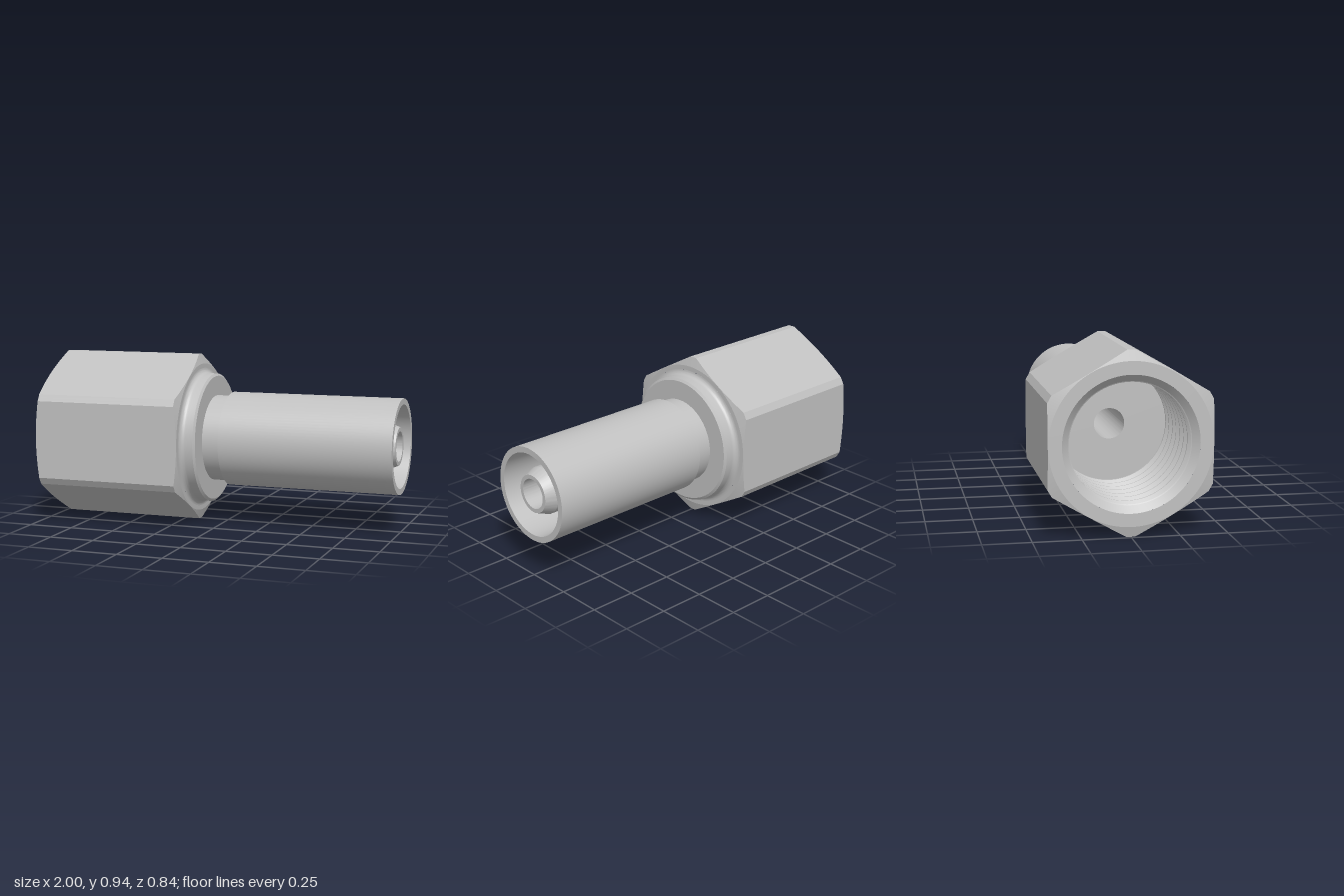
import * as THREE from 'three';
import { toCreasedNormals } from 'three/addons/utils/BufferGeometryUtils.js';

const FLAT = 0.42;      // hex centre to flat
const CORNER = 0.4725;  // hex centre to trimmed corner
const CREASE = 0.2;

const steel = new THREE.MeshStandardMaterial({ color: 0xc0c0c0 });
steel.name = 'steel';

function addMesh(parent, geometry, name) {
  const mesh = new THREE.Mesh(toCreasedNormals(geometry, CREASE), steel);
  mesh.name = name;
  parent.add(mesh);
}

// Revolve [x, radius] points around the x axis
function turned(points) {
  const profile = points.map(([x, r]) => new THREE.Vector2(r, x));
  return new THREE.LatheGeometry(profile, 96).rotateZ(-Math.PI / 2);
}

// Distance from the axis to the hexagon outline with trimmed corners
function hexRadius(angle) {
  const sector = Math.PI / 3;
  const a = Math.abs(angle - Math.round(angle / sector) * sector);
  return Math.min(FLAT / Math.cos(Math.PI / 6 - a), CORNER / Math.cos(a));
}

// Hexagonal sleeve whose ends are cut by shallow chamfer cones
function hexSleeve() {
  const bevel = Math.atan((FLAT / Math.cos(Math.PI / 6) - CORNER) * Math.sqrt(3) / CORNER);
  const angles = [];
  for (let k = 0; k < 6; k++) {
    const corner = k * Math.PI / 3;
    angles.push(corner - bevel, corner);
    for (let i = 0; i < 16; i++) {
      angles.push(corner + bevel + (Math.PI / 3 - 2 * bevel) * i / 16);
    }
  }
  const rings = [
    () => [-1, 0.35],
    () => [-1, 0.418],
    (p) => [-1 + (p - 0.418) * 0.3, p],
    (p) => [-0.152 - (p - 0.418) * 0.3, p],
    () => [-0.152, 0.418],
    () => [-0.152, 0.393],
  ];
  const positions = [], index = [], n = angles.length;
  for (const ring of rings) {
    for (const a of angles) {
      const [x, r] = ring(hexRadius(a));
      positions.push(x, r * Math.cos(a), r * Math.sin(a));
    }
  }
  for (let j = 0; j < rings.length - 1; j++) {
    for (let i = 0; i < n; i++) {
      const a = j * n + i, b = j * n + (i + 1) % n;
      index.push(a, b, a + n, b, b + n, a + n);
    }
  }
  const geometry = new THREE.BufferGeometry();
  geometry.setAttribute('position', new THREE.Float32BufferAttribute(positions, 3));
  geometry.setIndex(index);
  return geometry;
}

export function createModel() {
  const group = new THREE.Group();
  group.name = 'hoseFitting';
  const body = new THREE.Group();
  body.name = 'fittingBody';
  body.position.y = CORNER;
  group.add(body);

  addMesh(body, hexSleeve(), 'hexNut');

  // Collar blends into the nut face with a concave fillet
  const collar = [];
  for (let i = 0; i <= 10; i++) {
    const a = i / 10 * Math.PI / 2;
    collar.push([-0.122 - 0.03 * Math.cos(a), 0.393 - 0.03 * Math.sin(a)]);
  }
  collar.push([-0.08, 0.363], [-0.07, 0.35], [-0.07, 0.235]);
  addMesh(body, turned(collar), 'nutCollar');

  // Threaded bore, from the inner seat out to the countersunk mouth
  const thread = [[-0.4, 0.31]];
  const pitch = 0.08;
  for (let i = 0; i < 7; i++) {
    const x = -0.41 - i * pitch;
    thread.push([x, 0.31], [x - 0.032, 0.342], [x - 0.04, 0.342], [x - 0.072, 0.31]);
  }
  thread.push([-0.965, 0.315], [-1, 0.35]);
  addMesh(body, turned(thread), 'threadedBore');

  // Stem with flat seat, neck and tapered nipple around the through hole
  addMesh(body, turned([
    [-0.4, 0.083], [-0.4, 0.31], [-0.1, 0.31], [-0.1, 0.24], [0.1, 0.24], [0.1, 0.13],
    [0.92, 0.13], [0.985, 0.105], [0.985, 0.083], [-0.4, 0.083],
  ]), 'stem');

  // Crimp shell with a tapered cavity
  addMesh(body, turned([
    [0.03, 0.235], [0.03, 0.263], [1, 0.263], [1, 0.23], [0.15, 0.2], [0.15, 0.125],
  ]), 'crimpShell');

  return group;
}
